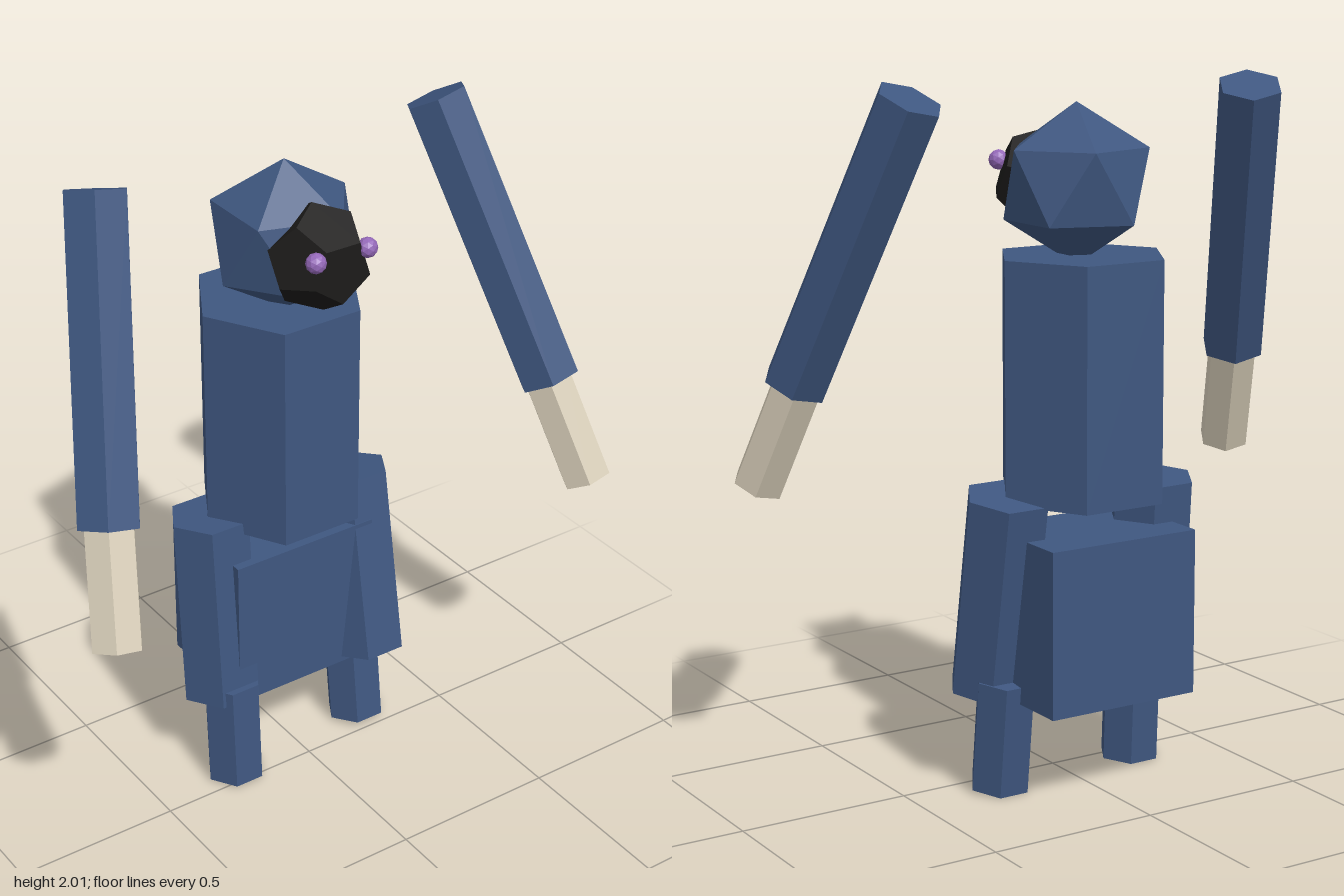
import * as THREE from 'three';

const mat = (name, color) => {
  const m = new THREE.MeshStandardMaterial({ color });
  m.name = name;
  m.flatShading = true;
  return m;
};

export function createModel() {
  const model = new THREE.Group();
  model.name = 'figure';
  const blue = mat('fur blue', 0x3f5780);
  const cream = mat('hand cream', 0xd9cfba);
  const black = mat('face black', 0x1c1b1a);
  const purple = mat('eye purple', 0x9468b8);

  const add = (name, geometry, material, x = 0, y = 0, z = 0) => {
    const mesh = new THREE.Mesh(geometry, material);
    mesh.name = name;
    mesh.position.set(x, y, z);
    model.add(mesh);
    return mesh;
  };

  // Six-sided bar between two points, corners pointing sideways
  const bar = (name, material, radius, top, bottom) => {
    const a = new THREE.Vector3(...top), b = new THREE.Vector3(...bottom);
    const axis = a.clone().sub(b);
    const geometry = new THREE.CylinderGeometry(radius, radius, axis.length(), 6);
    geometry.rotateY(Math.PI / 6);
    const mid = a.add(b).multiplyScalar(0.5);
    const mesh = add(name, geometry, material, mid.x, mid.y, mid.z);
    mesh.quaternion.setFromUnitVectors(new THREE.Vector3(0, 1, 0), axis.normalize());
  };

  // Body
  bar('torso', blue, 0.25, [0, 1.525, -0.15], [0, 0.845, -0.15]);
  add('hips', new THREE.BoxGeometry(0.472, 0.475, 0.355), blue, 0, 0.52, -0.193);

  // Head: upright icosahedron with an upper corner at the side
  const tilt = Math.atan(2 / (1 + Math.sqrt(5)));
  const head = new THREE.IcosahedronGeometry(0.225, 0);
  head.rotateZ(-tilt);
  add('head', head, blue, 0, 1.717, -0.12);

  // Face: dodecahedron with one pentagon facing forward
  const face = new THREE.DodecahedronGeometry(0.152, 0);
  face.rotateY(-tilt);
  face.rotateZ(-Math.PI / 2);
  add('face', face, black, 0, 1.715, 0.04);

  for (const [side, s] of [['left', 1], ['right', -1]]) {
    add(side + 'Eye', new THREE.IcosahedronGeometry(0.029, 1), purple, s * 0.083, 1.765, 0.153);
  }

  // Arms and hands
  bar('leftArm', blue, 0.095, [0.55, 1.972, -0.175], [0.718, 1.178, 0.187]);
  bar('leftHand', cream, 0.076, [0.70, 1.25, 0.15], [0.778, 0.88, 0.31]);
  bar('rightArm', blue, 0.095, [-0.543, 1.97, -0.187], [-0.723, 1.158, 0.118]);
  bar('rightHand', cream, 0.076, [-0.705, 1.24, 0.085], [-0.778, 0.85, 0.23]);

  // Legs
  bar('leftThigh', blue, 0.125, [0.24, 0.87, -0.148], [0.238, 0.295, -0.045]);
  bar('leftShin', blue, 0.09, [0.237, 0.34, -0.128], [0.237, 0.013, -0.09]);
  bar('rightThigh', blue, 0.125, [-0.235, 0.872, -0.16], [-0.238, 0.285, -0.115]);
  bar('rightShin', blue, 0.09, [-0.234, 0.34, -0.068], [-0.234, 0.007, -0.053]);

  return model;
}
